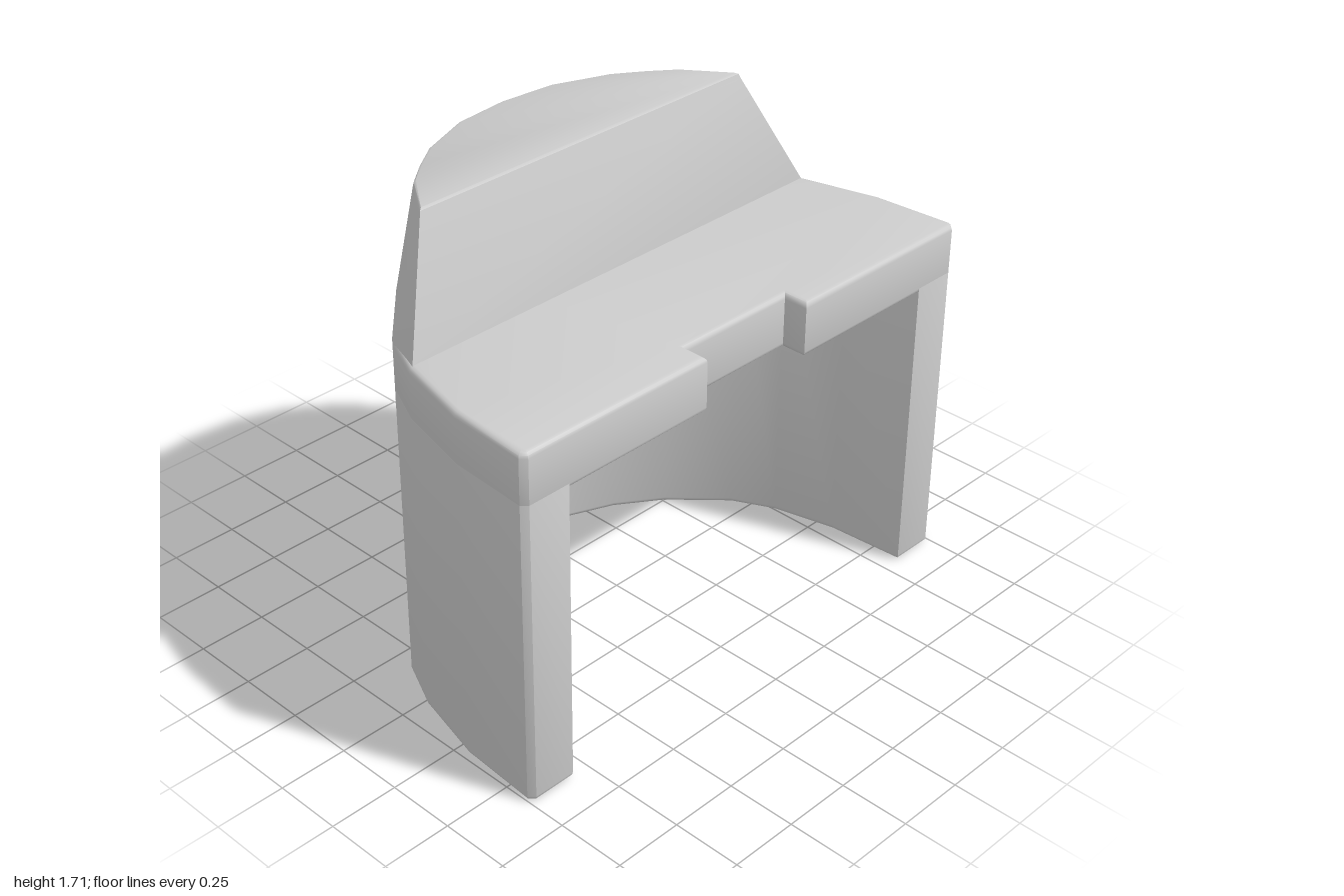
import * as THREE from 'three';
import { toCreasedNormals } from 'three/addons/utils/BufferGeometryUtils.js';

const BEVEL = 0.02;
const CREASE = 0.6;

// Half outlines as [x, z], from the left front edge round to the centre of the back
const OUTER = [[0.98, 0.615], [1, 0.595], [0.98, 0.3], [0.91, 0.02], [0.83, -0.15], [0.62, -0.375], [0.42, -0.51], [0.21, -0.595], [0, -0.615]];
const INNER = [[0.82, 0.615], [0.80, 0.32], [0.745, 0.09], [0.67, -0.06], [0.5, -0.24], [0.34, -0.35], [0.17, -0.42], [0, -0.44]];
const HOOD_BASE = [[0.895, 0.02], [0.83, -0.15], [0.62, -0.375], [0.42, -0.51], [0.21, -0.595], [0, -0.615]];
const HOOD_TOP = [[0.72, -0.12], [0.605, -0.285], [0.515, -0.36], [0.41, -0.435], [0.21, -0.515], [0, -0.535]];

// Completes a half outline with its mirror image
const mirror = (half) => [...half, ...half.slice(0, -1).reverse().map(([x, z]) => [-x, z])];

// Upright bevelled prism between two heights
function prism(points, y0, y1) {
  const shape = new THREE.Shape(points.map(([x, z]) => new THREE.Vector2(x, -z)));
  const geometry = new THREE.ExtrudeGeometry(shape, {
    depth: y1 - y0 - 2 * BEVEL, bevelEnabled: true, bevelThickness: BEVEL,
    bevelSize: BEVEL, bevelOffset: -BEVEL, bevelSegments: 3,
  });
  geometry.rotateX(-Math.PI / 2).translate(0, y0 + BEVEL, 0);
  return toCreasedNormals(geometry, CREASE);
}

// Skin through stacked rings, closed by a cap on the top ring
function loft(rings) {
  const n = rings[0].points.length;
  const position = rings.flatMap(({ y, points }) => points.flatMap(([x, z]) => [x, y, z]));
  const index = [];
  for (let r = 0; r < rings.length - 1; r++) {
    for (let i = 0; i < n; i++) {
      const a = r * n + i, b = r * n + (i + 1) % n;
      index.push(a, b, b + n, a, b + n, a + n);
    }
  }
  const top = (rings.length - 1) * n;
  for (let i = 1; i < n - 1; i++) index.push(top, top + i, top + i + 1);
  const geometry = new THREE.BufferGeometry();
  geometry.setAttribute('position', new THREE.Float32BufferAttribute(position, 3));
  geometry.setIndex(index);
  return toCreasedNormals(geometry, CREASE);
}

export function createModel() {
  const group = new THREE.Group();
  group.name = 'curvedHousing';
  const grey = new THREE.MeshStandardMaterial({ color: 0xcccccc });
  grey.name = 'lightGrey';
  const add = (name, geometry) => {
    const mesh = new THREE.Mesh(geometry, grey);
    mesh.name = name;
    group.add(mesh);
  };

  // Curved wall, open at the front; its top bevel is buried in the slab
  add('curvedWall', prism([...mirror(OUTER), ...mirror(INNER).reverse()], 0, 1.14));

  // Slab over the opening, with a notch in the front edge
  const notch = [[-0.23, 0.615], [-0.23, 0.525], [0.23, 0.525], [0.23, 0.615]];
  add('notchedSlab', prism([...mirror(OUTER), ...notch], 1.1, 1.3));

  // Tapered hood along the back, with a softened top edge
  const base = mirror(HOOD_BASE);
  const top = mirror(HOOD_TOP);
  const inset = top.map(([x, z]) => [x * 0.975, -0.3 + (z + 0.3) * 0.92]);
  add('taperedHood', loft([
    { y: 1.28, points: base },
    { y: 1.3, points: base },
    { y: 1.69, points: top },
    { y: 1.705, points: top.map(([x, z], i) => [(x * 2 + inset[i][0]) / 3, (z * 2 + inset[i][1]) / 3]) },
    { y: 1.71, points: inset },
  ]));

  return group;
}
